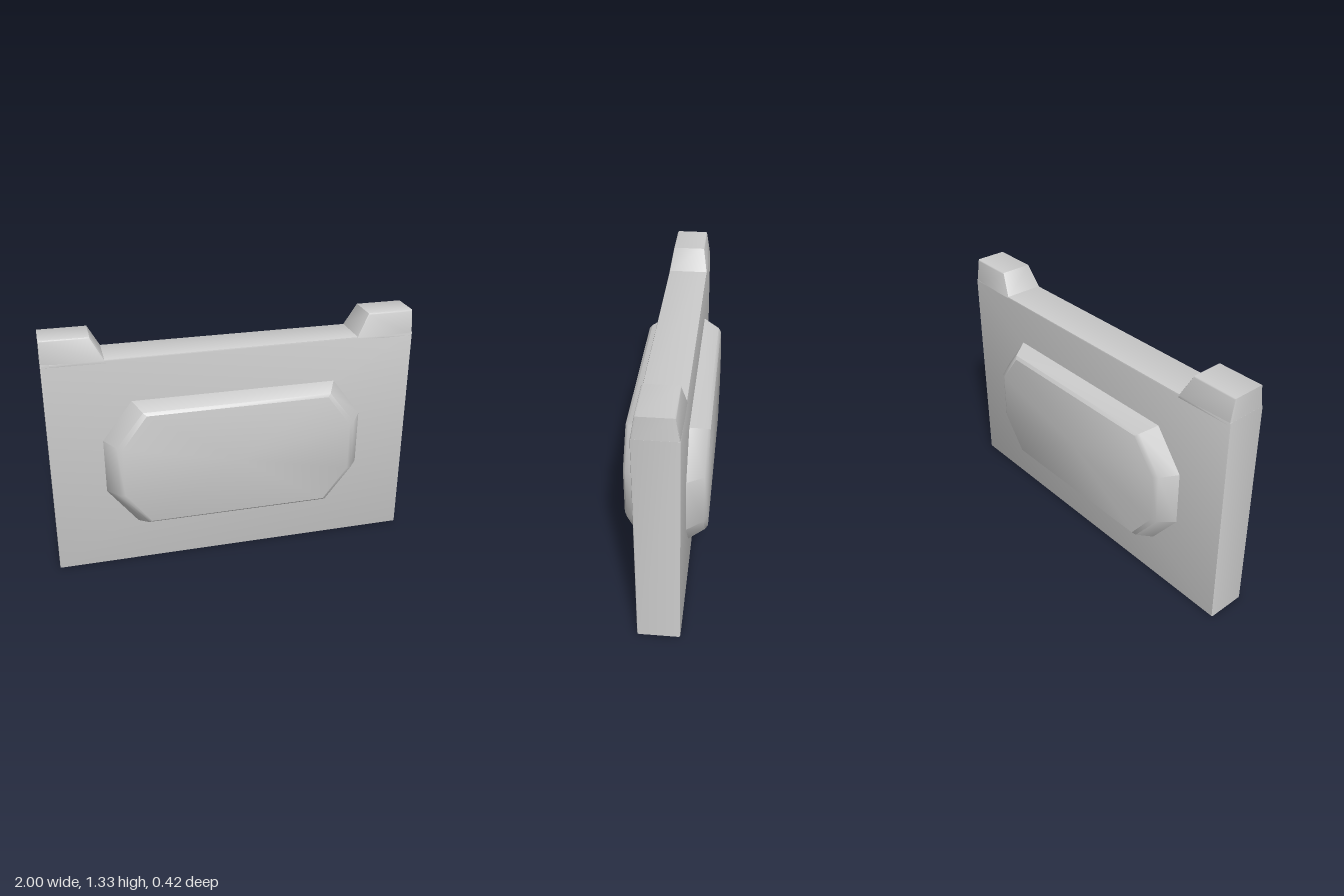
import * as THREE from 'three';
import { toCreasedNormals } from 'three/addons/utils/BufferGeometryUtils.js';

const HALF = 0.11;    // half thickness of the slab
const BEVEL = 0.008;
const material = new THREE.MeshStandardMaterial({ color: 0xcccccc });

function addMesh(group, name, geometry, crease = 0.7) {
  const mesh = new THREE.Mesh(toCreasedNormals(geometry, crease), material);
  mesh.name = name;
  group.add(mesh);
}

// Outline extruded to the slab thickness with fine rounded edges
function plate(points) {
  const shape = new THREE.Shape(points.map(([x, y]) => new THREE.Vector2(x, y)));
  const depth = 2 * (HALF - BEVEL);
  return new THREE.ExtrudeGeometry(shape, {
    depth, bevelThickness: BEVEL, bevelSize: BEVEL, bevelOffset: -BEVEL, bevelSegments: 2,
  }).translate(0, 0, -depth / 2);
}

// Raised end post whose thickness narrows towards its top
function post(side) {
  const pts = [[0.655, 1.19], [0.988, 1.19], [0.986, 1.333], [0.735, 1.333], [0.672, 1.215]]
    .map(([x, y]) => [side * x, y]);
  const geo = plate(side > 0 ? pts : pts.reverse());
  const p = geo.attributes.position;
  for (let i = 0; i < p.count; i++) {
    const t = Math.max(0, (p.getY(i) - 1.215) / 0.118);
    p.setZ(i, p.getZ(i) * (1 - 0.2 * t));
  }
  return geo;
}

// Closed solid from octagonal sections, ordered back to front
function octagonSolid(sections, centreY) {
  const loops = sections.map(([z, w, sideH, topW, h]) => [
    [w, -sideH], [w, sideH], [topW, h], [-topW, h],
    [-w, sideH], [-w, -sideH], [-topW, -h], [topW, -h],
  ].map(([x, y]) => [x, y + centreY, z]));
  const pos = [];
  const tri = (a, b, c) => pos.push(...a, ...b, ...c);
  const first = loops[0], last = loops[loops.length - 1];
  for (let j = 0; j < 8; j++) {
    const k = (j + 1) % 8;
    for (let i = 0; i < loops.length - 1; i++) {
      const a = loops[i], b = loops[i + 1];
      tri(a[j], a[k], b[k]);
      tri(a[j], b[k], b[j]);
    }
    tri([0, centreY, first[0][2]], first[k], first[j]);
    tri([0, centreY, last[0][2]], last[j], last[k]);
  }
  const geo = new THREE.BufferGeometry();
  geo.setAttribute('position', new THREE.Float32BufferAttribute(pos, 3));
  geo.computeVertexNormals();
  return geo;
}

export function createModel() {
  const group = new THREE.Group();

  // Slab, slightly narrower at the top
  addMesh(group, 'slab', plate([[-1, 0], [1, 0], [0.988, 1.215], [-0.988, 1.215]]));

  // Raised posts at both ends of the top edge
  addMesh(group, 'leftPost', post(1));
  addMesh(group, 'rightPost', post(-1));

  // Bevelled octagonal panel standing out on the front and the back
  const front = [
    [HALF, 0.71, 0.152, 0.55, 0.363],
    [0.195, 0.65, 0.142, 0.505, 0.329],
    [0.21, 0.622, 0.136, 0.488, 0.315],
  ];
  const back = front.map(([z, ...rest]) => [-z, ...rest]).reverse();
  addMesh(group, 'panel', octagonSolid([...back, ...front], 0.612));

  return group;
}
